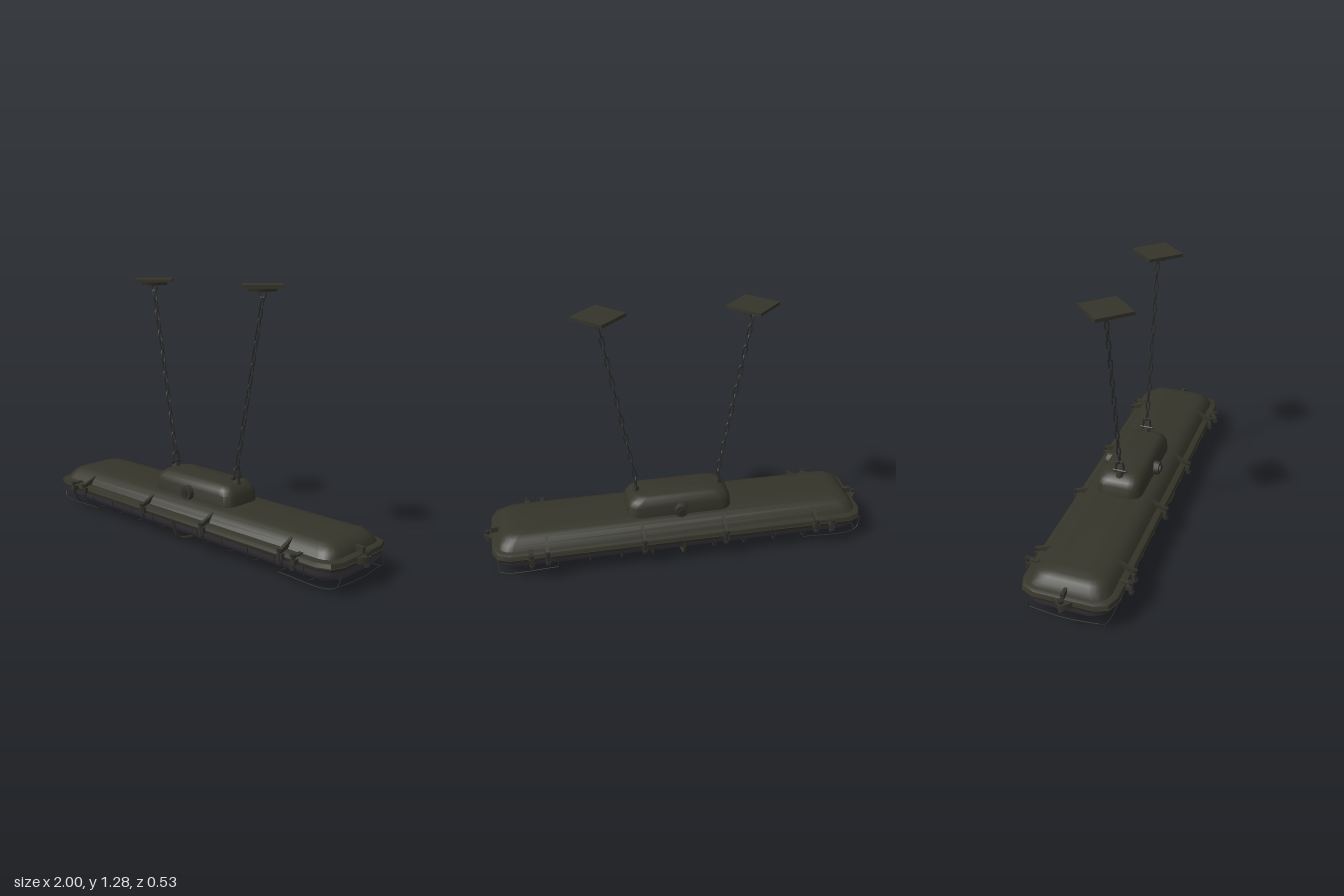
import * as THREE from 'three';
import { toCreasedNormals } from 'three/addons/utils/BufferGeometryUtils.js';

const mat = (name, color) => {
  const m = new THREE.MeshStandardMaterial({ color });
  m.name = name;
  return m;
};

export function createModel() {
  const root = new THREE.Group();
  root.name = 'hangingLamp';
  const paint = mat('olivePaint', 0x34342a);
  const glass = mat('smokedGlass', 0x3c393f);
  const steel = mat('darkSteel', 0x2c2c2c);

  const add = (name, geo, material, x = 0, y = 0, z = 0, parent = root) => {
    const mesh = new THREE.Mesh(geo, material);
    mesh.name = name;
    mesh.position.set(x, y, z);
    parent.add(mesh);
    return mesh;
  };

  // Stacked rounded rectangles, each layer [y, half length, half width, corner radius], lowest first
  const loft = (layers, seg = 3) => {
    const pos = [], index = [], n = 4 * (seg + 1);
    for (const [y, hx, hz, r] of layers) {
      for (let q = 0; q < 4; q++) {
        const sx = q === 0 || q === 3 ? 1 : -1, sz = q < 2 ? 1 : -1;
        for (let k = 0; k <= seg; k++) {
          const t = (q + k / seg) * Math.PI / 2;
          pos.push(sx * (hx - r) + r * Math.cos(t), y, sz * (hz - r) + r * Math.sin(t));
        }
      }
    }
    const last = layers.length - 1;
    pos.push(0, layers[0][0], 0, 0, layers[last][0], 0);
    for (let i = 0; i < n; i++) {
      const i2 = (i + 1) % n;
      for (let j = 0; j < last; j++) {
        const a = j * n + i, b = j * n + i2, c = a + n, d = b + n;
        index.push(a, c, b, b, c, d);
      }
      index.push((last + 1) * n, i, i2, (last + 1) * n + 1, last * n + i2, last * n + i);
    }
    const g = new THREE.BufferGeometry();
    g.setAttribute('position', new THREE.Float32BufferAttribute(pos, 3));
    g.setIndex(index);
    return toCreasedNormals(g, 0.6);
  };

  // Bent rod through a few points
  const rod = (points, radius, closed = false, steps = 24) => new THREE.TubeGeometry(
    new THREE.CatmullRomCurve3(points.map(p => new THREE.Vector3(...p)), closed, 'centripetal'),
    steps, radius, 6, closed);

  // Main body
  add('diffuser', loft([
    [0.04, 0.86, 0.11, 0.06], [0.046, 0.9, 0.15, 0.08], [0.065, 0.93, 0.185, 0.09],
    [0.09, 0.945, 0.205, 0.09], [0.125, 0.95, 0.212, 0.09],
  ], 5), glass);
  add('lowerFlange', loft([[0.118, 0.955, 0.225, 0.085], [0.134, 0.96, 0.23, 0.085]], 2), paint);
  add('gasket', loft([[0.132, 0.945, 0.22, 0.08], [0.14, 0.945, 0.22, 0.08]], 2), steel);
  add('upperFlange', loft([
    [0.138, 0.96, 0.23, 0.085], [0.156, 0.955, 0.225, 0.085], [0.162, 0.94, 0.21, 0.08],
  ], 2), paint);
  add('housing', loft([
    [0.155, 0.93, 0.2, 0.07], [0.185, 0.92, 0.182, 0.07], [0.208, 0.895, 0.16, 0.06],
    [0.219, 0.865, 0.13, 0.05], [0.224, 0.82, 0.09, 0.04],
  ], 4), paint);
  add('ballastBox', loft([
    [0.21, 0.272, 0.118, 0.06], [0.275, 0.266, 0.116, 0.06], [0.3, 0.25, 0.106, 0.055],
    [0.318, 0.225, 0.09, 0.05], [0.324, 0.2, 0.075, 0.04],
  ], 4), paint);

  // Bracket profile in z and y, standing against the flange
  const ribShape = new THREE.Shape([
    [0.15, 0.212], [0.17, 0.16], [0.225, 0.155], [0.24, 0.155], [0.24, 0.172], [0.2, 0.188],
  ].map(p => new THREE.Vector2(...p)));
  const ribGeo = new THREE.ExtrudeGeometry(ribShape, { depth: 0.016, bevelEnabled: false });
  ribGeo.translate(0, 0, -0.008);
  ribGeo.rotateY(-Math.PI / 2);
  const bolt = new THREE.CylinderGeometry(0.008, 0.008, 0.07, 8);
  const nut = new THREE.CylinderGeometry(0.014, 0.014, 0.012, 6);
  const addBolt = (parent, x, z) => {
    add('bolt', bolt, steel, x, 0.137, z, parent);
    for (const y of [0.108, 0.165]) add('nut', nut, steel, x, y, z, parent);
  };

  for (const side of [0, 1]) {
    // Fittings along one long edge, repeated on the other
    const edge = new THREE.Group();
    edge.name = side ? 'backEdge' : 'frontEdge';
    edge.rotation.y = side * Math.PI;
    root.add(edge);
    for (const x of [-0.69, -0.21, 0.21, 0.69]) {
      add('rib', ribGeo, paint, x, 0, 0, edge);
      add('lug', new THREE.BoxGeometry(0.03, 0.03, 0.03), paint, x, 0.137, 0.232, edge);
      addBolt(edge, x, 0.242);
    }
    for (const x of [-0.77, 0.77]) {
      add('clampArm', new THREE.BoxGeometry(0.024, 0.022, 0.07), paint, x, 0.137, 0.225, edge);
      add('clampTop', new THREE.BoxGeometry(0.022, 0.008, 0.06), paint, x, 0.164, 0.225, edge);
      addBolt(edge, x, 0.252);
    }
    // Cable gland on the ballast box
    const cap = add('glandRing', new THREE.CylinderGeometry(0.034, 0.038, 0.04, 12), paint, 0, 0.25, 0.122, edge);
    cap.rotation.x = Math.PI / 2;
    const plug = add('glandPlug', new THREE.CylinderGeometry(0.02, 0.02, 0.012, 6), steel, 0, 0.25, 0.145, edge);
    plug.rotation.x = Math.PI / 2;

    // Pointed lug with bolt on each short end
    const end = new THREE.Group();
    end.name = side ? 'rightEnd' : 'leftEnd';
    end.rotation.y = side * Math.PI;
    root.add(end);
    const lug = add('endLug', new THREE.CylinderGeometry(0.05, 0.05, 0.03, 4), paint, 0.955, 0.137, 0, end);
    lug.scale.x = 0.85;
    add('endRib', new THREE.BoxGeometry(0.07, 0.03, 0.016), paint, 0.925, 0.174, 0, end);
    addBolt(end, 0.978, 0);
    // Wire guard rails at this end
    for (const z of [-0.19, 0.19]) {
      add('guardRail', rod([[0.64, 0.037, z], [0.9, 0.036, z], [0.945, 0.05, z * 0.92], [0.962, 0.11, z * 0.85]], 0.0025),
        steel, 0, 0, 0, end);
    }
    add('endGuard', rod([[0.93, 0.04, -0.185], [0.945, 0.038, 0], [0.93, 0.04, 0.185]], 0.0025), steel, 0, 0, 0, end);
  }

  // Thin guard hoops and the heavy middle hoop
  const hoop = rod([
    [0, 0.125, -0.218], [0, 0.08, -0.214], [0, 0.045, -0.185], [0, 0.037, -0.1],
    [0, 0.036, 0.1], [0, 0.045, 0.185], [0, 0.08, 0.214], [0, 0.125, 0.218],
  ], 0.0035, false, 32);
  for (let i = -5; i <= 5; i++) if (i) add('guardHoop', hoop, steel, i * 0.16, 0, 0);
  add('middleHoop', rod([
    [0, 0.125, -0.226], [0, 0.085, -0.215], [0, 0.035, -0.19], [0, 0.02, -0.15], [0, 0.009, 0],
    [0, 0.02, 0.15], [0, 0.035, 0.19], [0, 0.085, 0.215], [0, 0.125, 0.226],
  ], 0.008, false, 40), paint);

  // Suspension: eye, chain and ceiling plate on each side
  const w = 0.0085, h = 0.026;
  const link = rod([
    [w, -h * 0.6, 0], [w, h * 0.6, 0], [w * 0.6, h, 0], [0, h * 1.15, 0], [-w * 0.6, h, 0],
    [-w, h * 0.6, 0], [-w, -h * 0.6, 0], [-w * 0.6, -h, 0], [0, -h * 1.15, 0], [w * 0.6, -h, 0],
  ], 0.0042, true, 20);
  for (const s of [-1, 1]) {
    const hanger = new THREE.Group();
    hanger.name = s > 0 ? 'leftHanger' : 'rightHanger';
    root.add(hanger);
    add('eyeBase', new THREE.CylinderGeometry(0.014, 0.022, 0.03, 8), paint, s * 0.215, 0.328, 0, hanger);
    const pin = add('shacklePin', new THREE.CylinderGeometry(0.007, 0.007, 0.066, 8), steel, s * 0.215, 0.345, 0, hanger);
    pin.rotation.x = Math.PI / 2;
    add('shackle', rod([
      [0, 0.335, -0.022], [0, 0.365, -0.019], [0, 0.394, -0.014],
      [0, 0.394, 0.014], [0, 0.365, 0.019], [0, 0.335, 0.022],
    ], 0.0055), steel, s * 0.215, 0, 0, hanger);

    const chain = new THREE.Group();
    chain.name = 'chain';
    chain.position.set(s * 0.22, 0.418, 0);
    chain.rotation.z = -s * Math.atan2(0.142, 0.785);
    hanger.add(chain);
    for (let i = 0; i < 16; i++) {
      const mesh = add('chainLink', link, steel, 0, i * 0.0532, 0, chain);
      mesh.rotation.y = i % 2 ? Math.PI / 2 : 0;
    }

    const hook = add('ceilingHook', new THREE.TorusGeometry(0.016, 0.0045, 6, 16), steel, s * 0.365, 1.24, 0, hanger);
    hook.rotation.y = Math.PI / 8;
    add('ceilingBoss', new THREE.CylinderGeometry(0.07, 0.064, 0.016, 16), paint, s * 0.365, 1.263, 0, hanger);
    const plate = add('ceilingPlate', new THREE.BoxGeometry(0.186, 0.016, 0.186), paint, s * 0.365, 1.278, 0, hanger);
    plate.rotation.y = Math.PI / 4;
  }
  return root;
}
